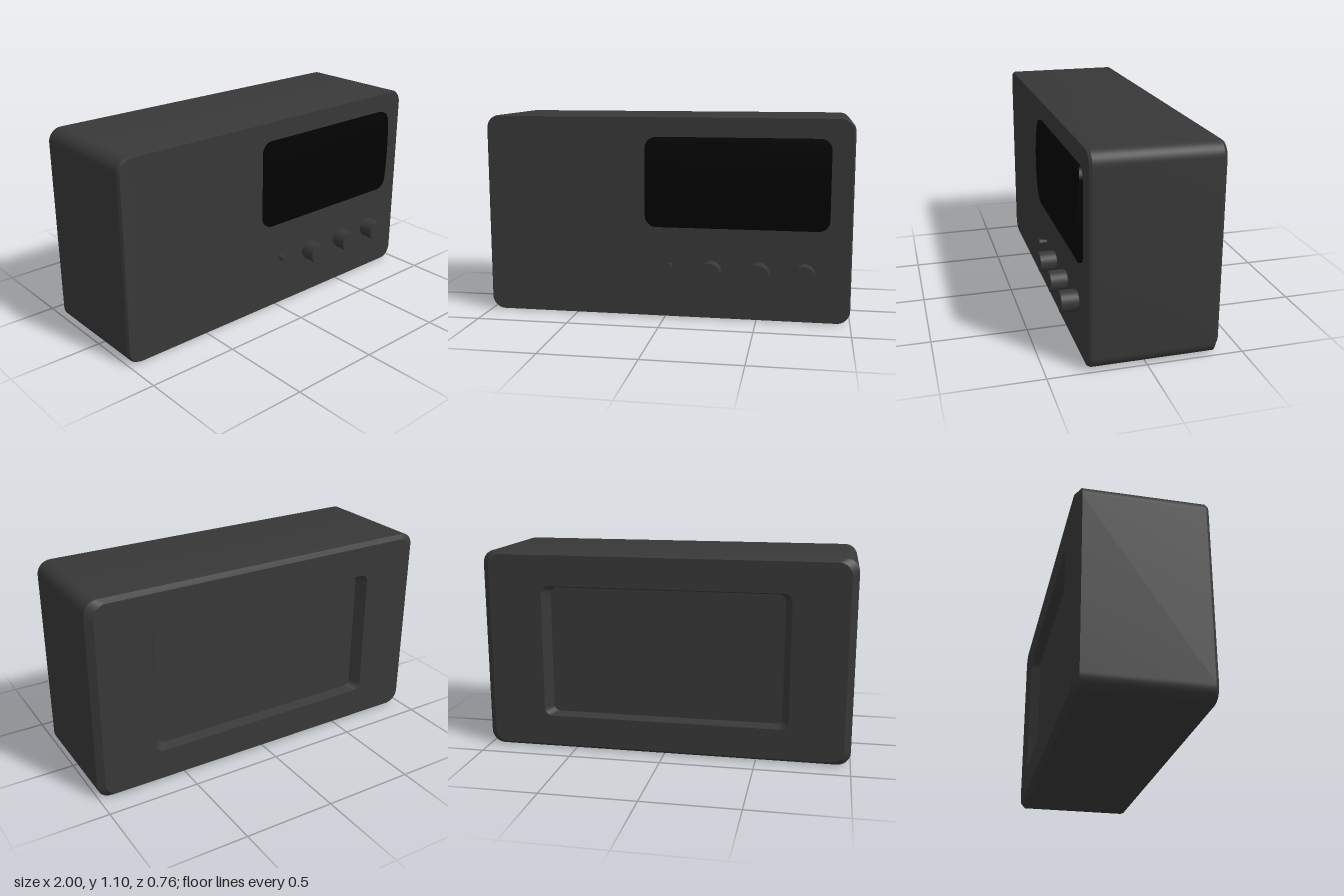
import * as THREE from 'three';
import { toCreasedNormals } from 'three/addons/utils/BufferGeometryUtils.js';

const caseMaterial = new THREE.MeshStandardMaterial({ color: 0x383838 });
const screenMaterial = new THREE.MeshStandardMaterial({ color: 0x020202 });

const CENTER_Y = 0.549;
const FRONT = 0.29;
const BACK = -0.38;

// Rounded rectangle outline, counter-clockwise, centred on the origin;
// a short flat lead-in beside each corner keeps the long sides evenly shaded
function roundedRect(halfW, halfH, r, steps = 8, lead = 0.005) {
  const points = [];
  const corners = [[1, 1], [-1, 1], [-1, -1], [1, -1]];
  corners.forEach(([sx, sy], c) => {
    for (let i = -1; i <= steps + 1; i++) {
      const a = (c + THREE.MathUtils.clamp(i / steps, 0, 1)) * Math.PI / 2;
      const slide = i < 0 ? -lead : i > steps ? lead : 0;
      points.push(new THREE.Vector2(
        sx * (halfW - r) + r * Math.cos(a) - slide * Math.sin(a),
        sy * (halfH - r) + r * Math.sin(a) + slide * Math.cos(a)
      ));
    }
  });
  return points;
}

// Place an outline at depth z, scaled about its centre
const ringAt = (outline, z, scale = 1) =>
  outline.map(p => new THREE.Vector3(p.x * scale, p.y * scale, z));

// Skin a list of closed rings, keeping sharp edges sharp
function loft(rings) {
  const n = rings[0].length;
  const index = [];
  for (let r = 0; r < rings.length - 1; r++) {
    for (let i = 0; i < n; i++) {
      const a = r * n + i;
      const b = r * n + (i + 1) % n;
      index.push(a, a + n, b, b, a + n, b + n);
    }
  }
  const geometry = new THREE.BufferGeometry().setFromPoints(rings.flat());
  geometry.setIndex(index);
  return toCreasedNormals(geometry, 0.4);
}

function addMesh(parent, name, geometry, material, x = 0, y = 0, z = 0) {
  const mesh = new THREE.Mesh(geometry, material);
  mesh.name = name;
  mesh.position.set(x, y, z);
  parent.add(mesh);
}

// Housing: shell with a fine front bevel, chamfered back and shallow tapered rear recess
function createHousing() {
  const housing = new THREE.Group();
  housing.name = 'housing';
  housing.position.y = CENTER_Y;

  const outline = roundedRect(1, CENTER_Y, 0.072);
  const frontScale = 0.992;
  const backScale = 0.965;
  addMesh(housing, 'shell', loft([
    ringAt(outline, FRONT, frontScale),
    ringAt(outline, FRONT - 0.014),
    ringAt(outline, BACK + 0.028),
    ringAt(outline, BACK, backScale)
  ]), caseMaterial);

  const scaled = s => outline.map(p => p.clone().multiplyScalar(s));
  addMesh(housing, 'frontPanel',
    new THREE.ShapeGeometry(new THREE.Shape(scaled(frontScale))), caseMaterial, 0, 0, FRONT);

  const recess = roundedRect(0.672, 0.364, 0.045);
  const floor = roundedRect(0.635, 0.35, 0.035);
  const floorZ = BACK + 0.056;
  const rim = new THREE.Shape(scaled(backScale));
  rim.holes.push(new THREE.Path(recess));
  addMesh(housing, 'backRim',
    new THREE.ShapeGeometry(rim).rotateY(Math.PI), caseMaterial, 0, 0, BACK);
  addMesh(housing, 'recessWall',
    loft([ringAt(recess, BACK), ringAt(floor, floorZ)]), caseMaterial);
  addMesh(housing, 'recessPanel',
    new THREE.ShapeGeometry(new THREE.Shape(floor)).rotateY(Math.PI), caseMaterial, 0, 0, floorZ);
  return housing;
}

// Screen: rounded corners, face bowed gently from top to bottom
function createScreenGeometry() {
  const halfW = 0.494, halfH = 0.244, r = 0.06, steps = 8;
  const rows = [];
  for (let i = 0; i <= steps; i++) {
    const a = i / steps * Math.PI / 2;
    rows.push([-halfH + r * (1 - Math.cos(a)), halfW - r + r * Math.sin(a)]);
  }
  for (let i = 1; i < 12; i++) {
    rows.push([(halfH - r) * (i / 6 - 1), halfW]);
  }
  for (let i = steps; i >= 0; i--) rows.push([-rows[i][0], rows[i][1]]);

  const section = ([y, w], front) => [
    new THREE.Vector3(-w, y, -0.005),
    new THREE.Vector3(w, y, -0.005),
    new THREE.Vector3(w, y, front),
    new THREE.Vector3(-w, y, front)
  ];
  const rings = rows.map(row => section(row, 0.025 - 0.013 * (row[0] / halfH) ** 2));
  // Close the thin bottom and top edges
  rings.unshift(section(rows[0], -0.005));
  rings.push(section(rows[rows.length - 1], -0.005));
  return loft(rings);
}

// Cylinder pointing forwards between two depths
function rod(radius, z0, z1) {
  return new THREE.CylinderGeometry(radius, radius, z1 - z0, 40)
    .rotateX(Math.PI / 2)
    .translate(0, 0, (z0 + z1) / 2);
}

export function createModel() {
  const model = new THREE.Group();
  model.name = 'tabletopRadio';
  model.add(createHousing());
  addMesh(model, 'screen', createScreenGeometry(), screenMaterial, 0.387, 0.746, FRONT);

  // Row of three control knobs, each on a narrower collar
  [0.254, 0.512, 0.754].forEach((x, i) => {
    const knob = new THREE.Group();
    knob.name = `knob${i + 1}`;
    knob.position.set(x, 0.271, FRONT);
    addMesh(knob, 'collar', rod(0.051, -0.005, 0.01), caseMaterial);
    addMesh(knob, 'cap', rod(0.056, 0.01, 0.09), caseMaterial);
    model.add(knob);
  });

  // Small push button on a thin stem
  const button = new THREE.Group();
  button.name = 'pushButton';
  button.position.set(0.027, 0.292, FRONT);
  addMesh(button, 'stem', rod(0.013, -0.005, 0.02), caseMaterial);
  addMesh(button, 'cap', rod(0.017, 0.02, 0.043), caseMaterial);
  model.add(button);

  return model;
}
